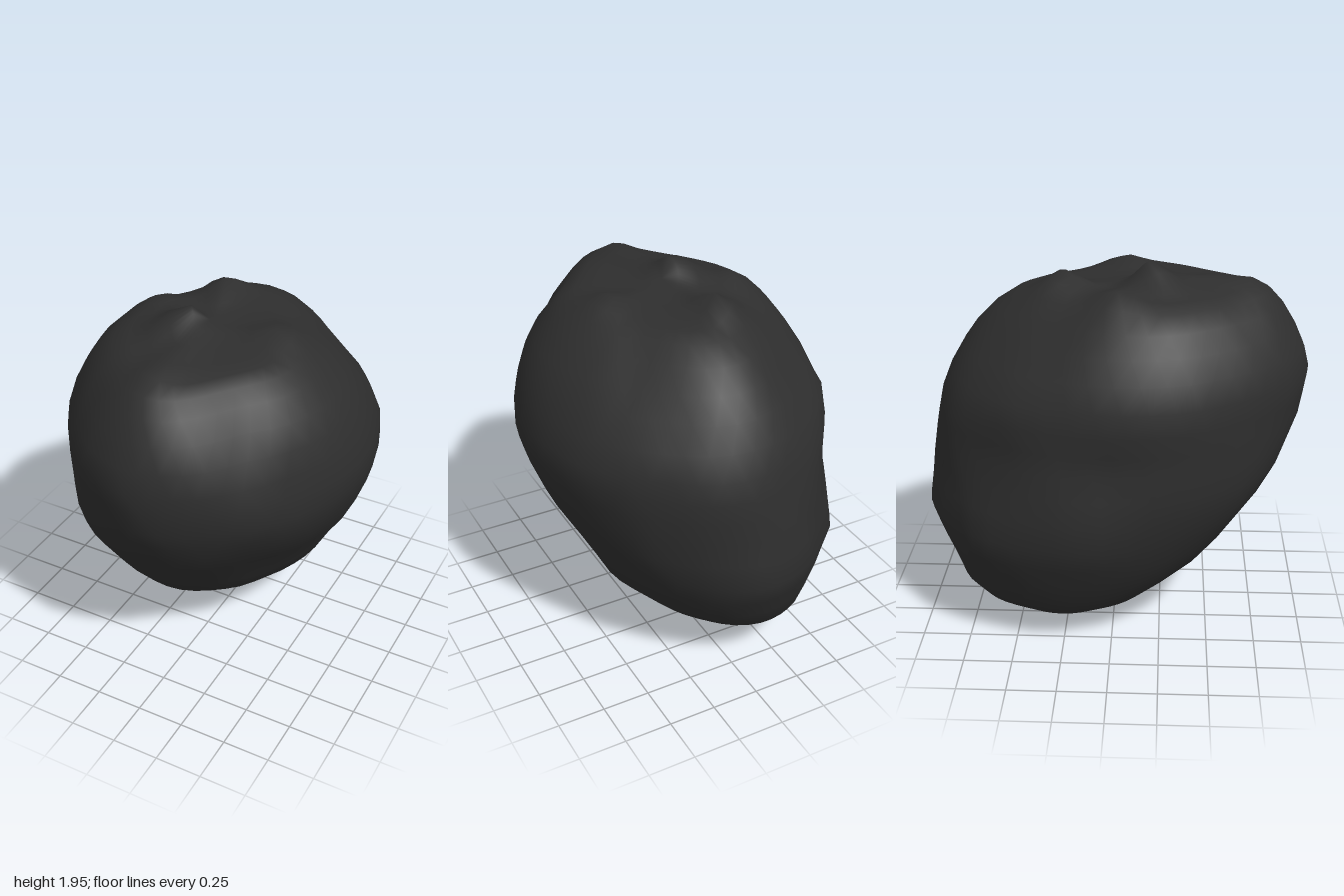
import * as THREE from 'three';

// Horizontal sections, bottom to top: y, xMin, xMax, zMin, zMax
const SECTIONS = [
  [0.01, -0.24, -0.17, -0.36, -0.13],
  [0.09, -0.42, 0.04, -0.54, 0.01],
  [0.18, -0.55, 0.17, -0.72, 0.2],
  [0.27, -0.62, 0.3, -0.82, 0.33],
  [0.39, -0.68, 0.43, -0.88, 0.48],
  [0.52, -0.74, 0.51, -0.94, 0.59],
  [0.65, -0.78, 0.58, -0.985, 0.69],
  [0.79, -0.79, 0.66, -0.97, 0.79],
  [0.92, -0.79, 0.72, -0.96, 0.87],
  [1.04, -0.78, 0.765, -0.95, 0.92],
  [1.15, -0.78, 0.79, -0.935, 0.955],
  [1.26, -0.79, 0.785, -0.91, 0.97],
  [1.38, -0.78, 0.75, -0.86, 0.985],
  [1.5, -0.735, 0.705, -0.79, 0.965],
  [1.61, -0.67, 0.64, -0.71, 0.92],
  [1.71, -0.6, 0.55, -0.61, 0.86],
  [1.78, -0.51, 0.47, -0.5, 0.79],
  [1.81, -0.42, 0.39, -0.41, 0.7],
  [1.82, -0.34, 0.3, -0.3, 0.56],
  [1.82, -0.24, 0.18, -0.14, 0.4],
  [1.82, -0.13, 0.06, 0.01, 0.24],
];
// Knobs on the crown: x, z, height, radius
const KNOBS = [
  [-0.14, 0.2, 0.14, 0.12], [-0.15, -0.26, 0.09, 0.11], [-0.4, 0.02, 0.06, 0.12],
  [0.3, 0.05, 0.055, 0.12], [-0.02, 0.47, 0.05, 0.1], [-0.05, 0.68, 0.04, 0.1],
];
// Local swellings and hollows on the flanks: x, y, z, amount, radius
const FLANKS = [
  [-0.75, 1.06, 0, -0.035, 0.13], [-0.78, 0.66, -0.1, 0.025, 0.15],
  [0.46, 0.39, -0.2, 0.03, 0.12], [0, 0.65, -0.98, 0.02, 0.15],
  [0, 1.16, 0.95, 0.02, 0.12], [-0.05, 1.4, 0.97, 0.02, 0.12],
];
const SIDES = 44;

// Low, rounded lumps and dents
const lumps = (x, y, z) =>
  0.5 * Math.sin(5.1 * x + 2.3 * y + 1.2) * Math.sin(4.7 * y - 3.1 * z) +
  0.3 * Math.sin(9.3 * x - 6.1 * z + 0.7) * Math.cos(8.2 * y + 3.7 * z) +
  0.2 * Math.sin(15 * z + 9 * y) * Math.cos(14 * x - 5 * y);

const crown = (x, y, z) => KNOBS.reduce((h, [kx, kz, k, r]) =>
  h + k * THREE.MathUtils.smoothstep(y, 1.6, 1.8) *
    Math.exp(-((x - kx) ** 2 + (z - kz) ** 2) / (r * r)), y);

const flank = (x, y, z) => FLANKS.reduce((s, [fx, fy, fz, k, r]) =>
  s + k * Math.exp(-((x - fx) ** 2 + (y - fy) ** 2 + (z - fz) ** 2) / (r * r)), 0);

function rockGeometry() {
  const pos = [], index = [];
  SECTIONS.forEach(([y, x0, x1, z0, z1], i) => {
    const cx = (x0 + x1) / 2, cz = (z0 + z1) / 2;
    // corners are cut back toward the crown, more so on the left
    const high = THREE.MathUtils.smoothstep(y, 1.3, 1.8);
    for (let j = 0; j < SIDES; j++) {
      const a = ((j + (i % 2) * 0.5) / SIDES) * Math.PI * 2;
      const x = Math.cos(a) * (x1 - x0) / 2, z = Math.sin(a) * (z1 - z0) / 2;
      const corner = Math.sin(2 * a) ** 2;
      const cut = (Math.cos(a) > 0 ? 0.045 : 0.01) + 0.09 * high;
      const s = 1 - cut * corner + 0.04 * lumps(x, y, z) * (0.2 + 0.8 * corner) +
        flank(cx + x, y, cz + z);
      const px = cx + x * s, pz = cz + z * s;
      pos.push(px, crown(px, y, pz), pz);
    }
  });
  const at = (i, j) => i * SIDES + (j % SIDES);
  const last = SECTIONS.length - 1;
  const bottom = pos.length / 3, top = bottom + 1;
  pos.push(-0.2, 0, -0.25, -0.04, crown(-0.04, 1.82, 0.12), 0.12);
  for (let j = 0; j < SIDES; j++) {
    for (let i = 0; i < last; i++) {
      // alternate the diagonal with the staggered rows
      const a = at(i, j), b = at(i, j + 1), c = at(i + 1, j), d = at(i + 1, j + 1);
      if (i % 2) index.push(a, c, d, a, d, b);
      else index.push(a, c, b, b, c, d);
    }
    index.push(bottom, at(0, j), at(0, j + 1));
    index.push(top, at(last, j + 1), at(last, j));
  }
  const geo = new THREE.BufferGeometry();
  geo.setAttribute('position', new THREE.Float32BufferAttribute(pos, 3));
  geo.setIndex(index);
  geo.computeVertexNormals();
  return geo;
}

export function createModel() {
  const group = new THREE.Group();
  group.name = 'boulder';
  const rock = new THREE.Mesh(rockGeometry(), new THREE.MeshStandardMaterial({ color: 0x2e2e2e }));
  rock.name = 'rock';
  group.add(rock);
  return group;
}
